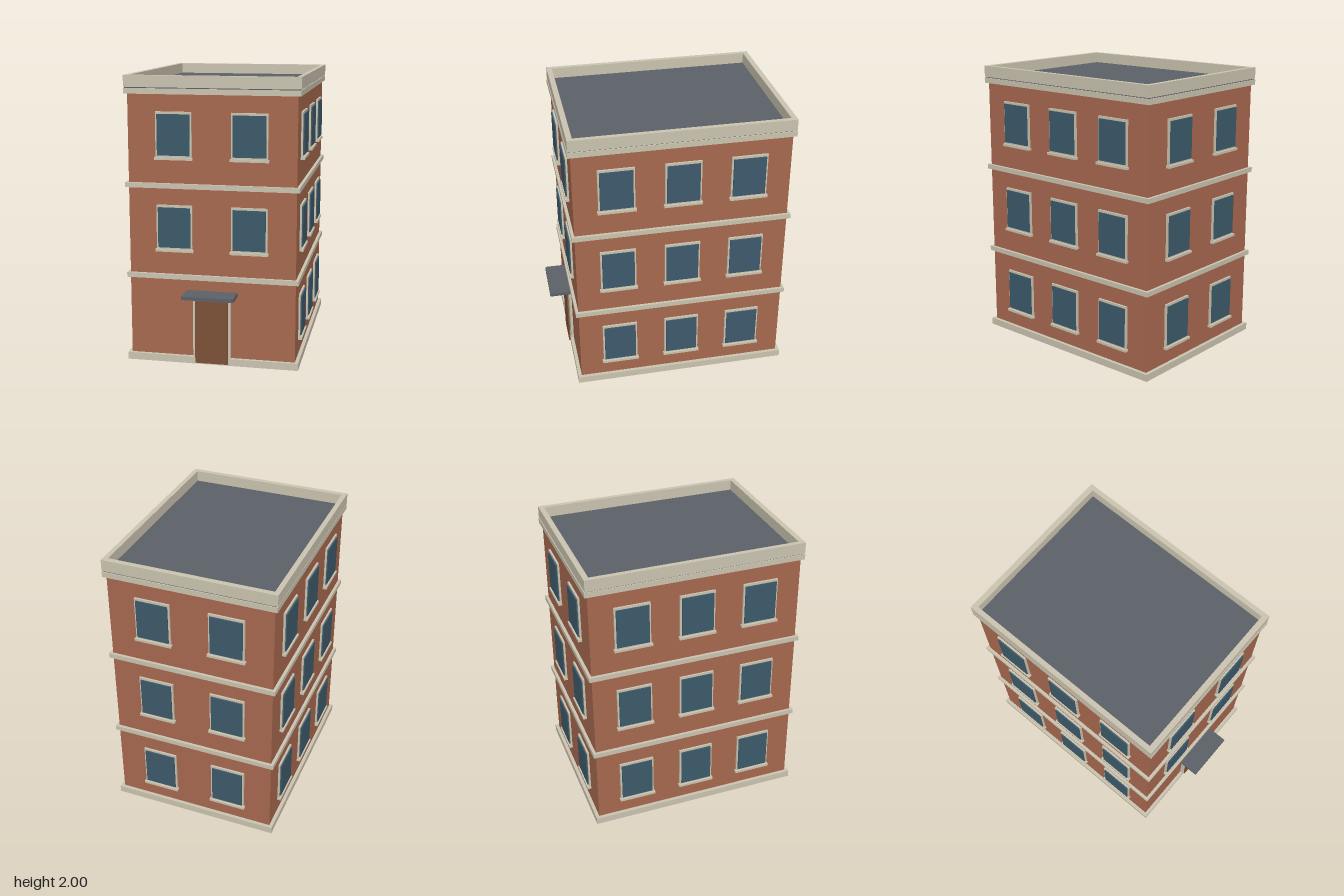
import * as THREE from 'three';

const mat = (name, color) => {
  const m = new THREE.MeshStandardMaterial({ color });
  m.name = name;
  return m;
};

export function createModel() {
  const brick = mat('brick', 0xa8694f);
  const trim = mat('pale stone', 0xcbc4b0);
  const glass = mat('window glass', 0x3d5a6b);
  const wood = mat('door wood', 0x7c5037);
  const slate = mat('roof grey', 0x5c6068);

  const model = new THREE.Group();
  model.name = 'building';
  const HX = 0.58, HZ = 0.745, CZ = -0.069; // half width, half depth, centre of walls

  const box = (parent, name, m, w, h, d, x, y, z) => {
    const mesh = new THREE.Mesh(new THREE.BoxGeometry(w, h, d), m);
    mesh.name = name;
    mesh.position.set(x, y, z);
    parent.add(mesh);
    return mesh;
  };
  // Slab around the whole footprint, overhanging the walls by o
  const slab = (name, m, y0, y1, o) =>
    box(model, name, m, 2 * (HX + o), y1 - y0, 2 * (HZ + o), 0, (y0 + y1) / 2, CZ);

  // Walls and horizontal bands
  slab('walls', brick, 0.02, 1.9, 0);
  slab('basePlinth', trim, 0, 0.05, 0.025);
  slab('lowerBand', trim, 0.602, 0.636, 0.021);
  slab('upperBand', trim, 1.238, 1.272, 0.021);
  slab('cornice', trim, 1.876, 1.914, 0.021);
  slab('roof', slate, 1.905, 1.924, 0.014);

  // Parapet ring around the roof
  const rect = (T, w, d) => new T([
    new THREE.Vector2(-w, -d), new THREE.Vector2(w, -d),
    new THREE.Vector2(w, d), new THREE.Vector2(-w, d)]);
  const ring = rect(THREE.Shape, 0.602, 0.763);
  ring.holes.push(rect(THREE.Path, 0.568, 0.725));
  const ringGeo = new THREE.ExtrudeGeometry(ring, { depth: 0.08, bevelEnabled: false });
  ringGeo.rotateX(-Math.PI / 2);
  const parapet = new THREE.Mesh(ringGeo, trim);
  parapet.name = 'parapet';
  parapet.position.set(0, 1.92, CZ);
  model.add(parapet);

  // One window: surround, raised pane and sill, facing +z
  const addWindow = (x, y, z, turn) => {
    const g = new THREE.Group();
    g.name = 'window';
    box(g, 'windowSurround', trim, 0.25, 0.312, 0.016, 0, 0, 0.005);
    box(g, 'windowPane', glass, 0.226, 0.28, 0.009, 0, 0, 0.0175);
    box(g, 'windowSill', trim, 0.266, 0.017, 0.032, 0, -0.161, 0.012);
    g.position.set(x, y, z);
    g.rotation.y = turn;
    model.add(g);
  };
  for (let floor = 0; floor < 3; floor++) {
    const y = 0.328 + floor * 0.638;
    for (const s of [-1, 1]) {
      if (floor > 0) addWindow(s * 0.26, y, CZ + HZ, 0);
      addWindow(s * 0.26, y, CZ - HZ, Math.PI);
      for (const k of [-1, 0, 1]) addWindow(s * HX, y, CZ + k * 0.453, s * Math.PI / 2);
    }
  }

  // Entrance
  const front = CZ + HZ;
  box(model, 'doorSurround', trim, 0.266, 0.465, 0.03, 0, 0.2425, front + 0.003);
  box(model, 'door', wood, 0.23, 0.448, 0.01, 0, 0.234, front + 0.03);
  box(model, 'doorCanopy', slate, 0.358, 0.024, 0.172, 0, 0.513, front + 0.075);

  return model;
}
